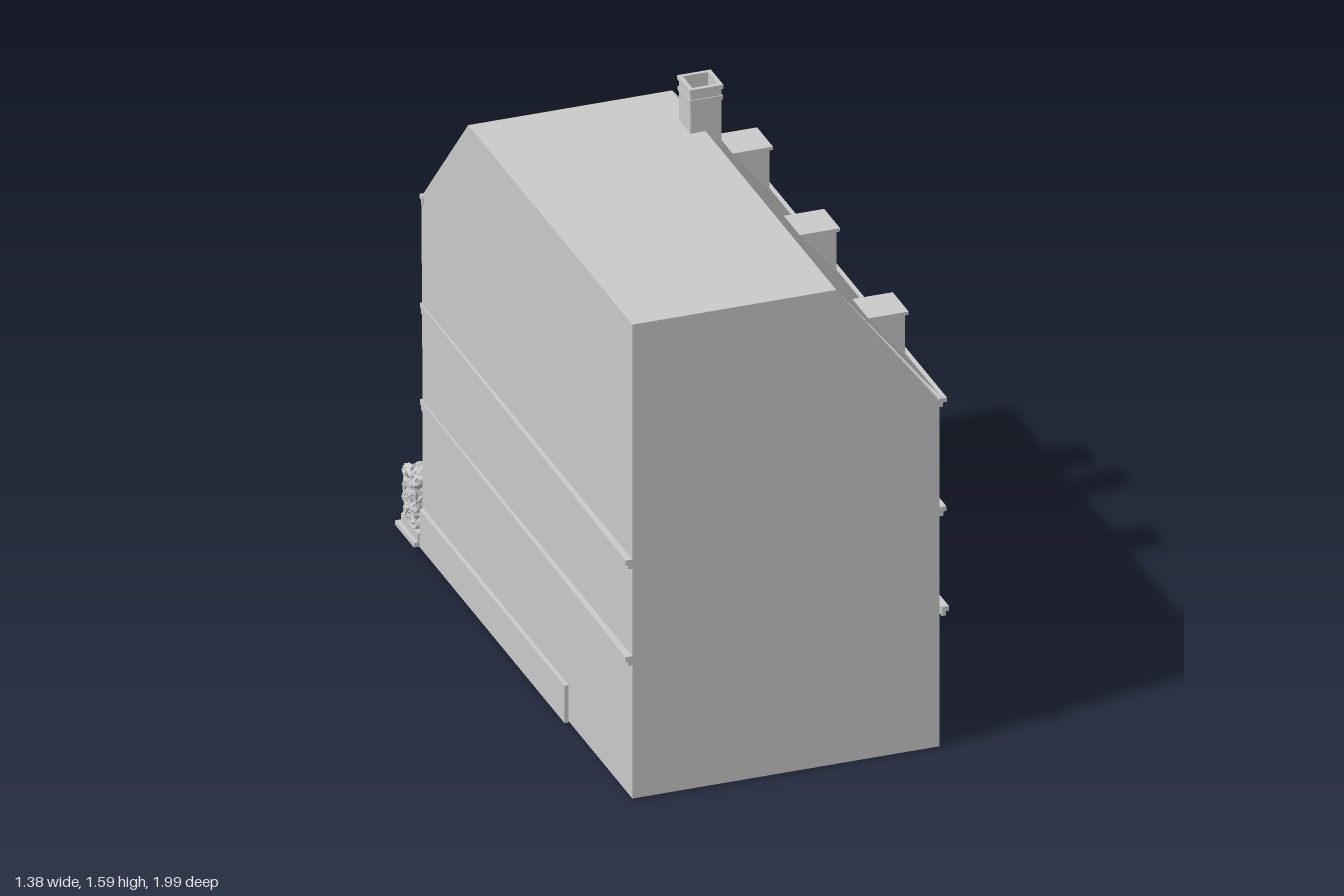
import * as THREE from 'three';

const grey = new THREE.MeshStandardMaterial({ color: 0xcccccc, flatShading: true, side: THREE.DoubleSide });

// Main dimensions: the street facade faces local +z
const HALF_W = 0.447, BACK = -0.825, FACE = 0.8, RECESS = 0.768, EAVE = 1.062, TOP = 1.455;

function add(parent, name, geometry) {
  const mesh = new THREE.Mesh(geometry, grey);
  mesh.name = name;
  parent.add(mesh);
  return mesh;
}

// Box given by its lowest and highest corner
function box(parent, name, x0, x1, y0, y1, z0, z1) {
  const mesh = add(parent, name, new THREE.BoxGeometry(x1 - x0, y1 - y0, z1 - z0));
  mesh.position.set((x0 + x1) / 2, (y0 + y1) / 2, (z0 + z1) / 2);
  return mesh;
}

function group(parent, name) {
  const g = new THREE.Group();
  g.name = name;
  parent.add(g);
  return g;
}

const polygon = (Type, pts) => new Type(pts.map(p => new THREE.Vector2(...p)));

// Flat face from its corners, counter-clockwise seen from outside
function face(parent, name, pts) {
  const corners = [];
  for (let i = 1; i < pts.length - 1; i++) corners.push(...pts[0], ...pts[i], ...pts[i + 1]);
  const geo = new THREE.BufferGeometry();
  geo.setAttribute('position', new THREE.Float32BufferAttribute(corners, 3));
  geo.computeVertexNormals();
  add(parent, name, geo);
}

// Outline with a gently arched head
function arched(Type, x, y, w, h, rise) {
  const s = new Type();
  s.moveTo(x - w / 2, y);
  s.lineTo(x + w / 2, y);
  s.lineTo(x + w / 2, y + h);
  s.quadraticCurveTo(x, y + h + rise * 2, x - w / 2, y + h);
  s.closePath();
  return s;
}

function extrude(parent, name, shape, z0, z1) {
  const g = new THREE.ExtrudeGeometry(shape, { depth: z1 - z0, bevelEnabled: false, curveSegments: 8 });
  g.translate(0, 0, z0);
  return add(parent, name, g);
}

// Plan outline (x, -z) raised from y0 to y1
function raise(parent, name, shape, y0, y1) {
  extrude(parent, name, shape, y0, y1).geometry.rotateX(-Math.PI / 2);
}

// Openings: x, bottom, width, height, arch rise
const columns = [-0.265, 0, 0.27];
const windows = [];
for (const x of columns) {
  windows.push({ x, y: 0.777, w: 0.102, h: 0.185, rise: 0.008, bars: 1 });
  windows.push({ x, y: 0.477, w: 0.102, h: 0.172, rise: 0.008, bars: 1 });
  if (x > -0.1) windows.push({ x, y: 0.13, w: 0.108, h: 0.195, rise: 0.014, bars: 3 });
}
const door = { x: -0.27, y: 0.03, w: 0.15, h: 0.29, rise: 0 };
const cellars = columns.slice(1).map(x => ({ x, y: 0.035, w: 0.08, h: 0.045, rise: 0 }));

function buildWindow(parent, { x, y, w, h, rise, bars }) {
  const g = group(parent, 'window');
  const ow = w + 0.032;
  const trim = arched(THREE.Shape, x, y, ow, h + 0.016, rise);
  trim.holes.push(arched(THREE.Path, x, y + 0.001, w, h, rise));
  extrude(g, 'windowSurround', trim, FACE, FACE + 0.01);
  const frame = arched(THREE.Shape, x, y, w, h, rise);
  frame.holes.push(arched(THREE.Path, x, y + 0.009, w - 0.018, h - 0.018, rise));
  extrude(g, 'windowFrame', frame, RECESS, RECESS + 0.012);
  for (let i = 1; i <= bars; i++) {
    const bx = x - w / 2 + w * i / (bars + 1);
    box(g, 'mullion', bx - 0.003, bx + 0.003, y, y + h, RECESS, RECESS + 0.01);
  }
  for (const f of bars > 1 ? [0.25, 0.5, 0.75] : [0.68])
    box(g, 'transom', x - w / 2, x + w / 2, y + h * f - 0.003, y + h * f + 0.003, RECESS, RECESS + 0.01);
  // Arched hood on small consoles
  const top = y + h + 0.016;
  const hood = new THREE.Shape();
  hood.moveTo(x - ow / 2 - 0.012, top);
  hood.quadraticCurveTo(x, top + rise * 2, x + ow / 2 + 0.012, top);
  hood.lineTo(x + ow / 2 + 0.012, top + 0.016);
  hood.quadraticCurveTo(x, top + 0.016 + rise * 3, x - ow / 2 - 0.012, top + 0.016);
  extrude(g, 'windowHood', hood, FACE, FACE + 0.02);
  // Sill
  box(g, 'windowSill', x - ow / 2 - 0.01, x + ow / 2 + 0.01, y - 0.014, y, RECESS, FACE + 0.02);
  for (const s of [-1, 1]) {
    const cx = x + s * (ow / 2 - 0.008);
    box(g, 'hoodConsole', cx - 0.007, cx + 0.007, top - 0.035, top, FACE, FACE + 0.017);
    box(g, 'sillConsole', cx - 0.007, cx + 0.007, y - 0.034, y - 0.014, FACE, FACE + 0.015);
  }
}

function buildDoor(parent) {
  const g = group(parent, 'entrance');
  const { x, y, w, h } = door;
  box(g, 'doorTransom', x - w / 2, x + w / 2, 0.245, 0.257, RECESS, RECESS + 0.018);
  for (const s of [-1, 1]) {
    const cx = x + s * w / 4;
    box(g, 'doorLeaf', cx - w / 4 + 0.002, cx + w / 4 - 0.002, y, 0.245, RECESS, RECESS + 0.008);
    for (const [a, b] of [[0.045, 0.1], [0.115, 0.23], [0.267, y + h - 0.01]])
      box(g, 'doorPanel', cx - 0.024, cx + 0.024, a, b, RECESS, RECESS + 0.014);
    const px = x + s * (w / 2 + 0.014);
    box(g, 'doorPilaster', px - 0.014, px + 0.014, 0.01, 0.33, FACE, FACE + 0.012);
    box(g, 'doorPilasterBase', px - 0.017, px + 0.017, 0.01, 0.05, FACE, FACE + 0.018);
    box(g, 'doorConsole', px - 0.012, px + 0.012, 0.31, 0.355, FACE, FACE + 0.02);
  }
  box(g, 'doorLintel', x - 0.105, x + 0.105, 0.33, 0.355, FACE, FACE + 0.014);
  box(g, 'doorCornice', x - 0.115, x + 0.115, 0.355, 0.372, FACE, FACE + 0.022);
  box(g, 'doorStep', x - 0.1, x + 0.1, 0, 0.03, RECESS, FACE + 0.02);
}

// Dormer with its face on the side slope, cut back into the roof
function buildDormer(parent, z) {
  const g = group(parent, 'dormer');
  const f = -0.404, hw = 0.05;
  extrude(g, 'dormerBody', polygon(THREE.Shape, [[f, 1.13], [-0.3, 1.25], [f, 1.25]]), z - hw, z + hw);
  box(g, 'dormerRoof', f - 0.016, -0.295, 1.25, 1.26, z - 0.062, z + 0.062);
  box(g, 'dormerCornice', f - 0.008, -0.305, 1.24, 1.25, z - 0.056, z + 0.056);
  for (const s of [-1, 0, 1]) {
    const w = s ? 0.008 : 0.005;
    box(g, 'dormerFrame', f - 0.01, f, 1.13, 1.24, z + s * 0.042 - w, z + s * 0.042 + w);
  }
  for (const y of [1.13, 1.19, 1.23])
    box(g, 'dormerRail', f - 0.01, f, y, y + 0.01, z - hw, z + hw);
}

function buildChimney(parent) {
  const g = group(parent, 'chimney');
  const square = (Type, r) => polygon(Type, [[-r, -r], [r, -r], [r, r], [-r, r]]);
  for (const [name, r, y0, y1] of [['chimneyStack', 0.045, 1.4, 1.585], ['chimneyBand', 0.048, 1.545, 1.557], ['chimneyRim', 0.049, 1.578, 1.59]]) {
    const s = square(THREE.Shape, r);
    s.holes.push(square(THREE.Path, 0.037));
    raise(g, name, s, y0, y1);
  }
  box(g, 'chimneyFloor', -0.04, 0.04, 1.48, 1.52, -0.04, 0.04);
  g.position.set(-0.148, 0, 0.236);
}

// Clipped hedge: a fine box with every vertex nudged by a hash of its position
function buildHedge(parent) {
  const g = group(parent, 'hedge');
  const geo = new THREE.BoxGeometry(0.36, 0.158, 0.1, 40, 18, 12);
  const p = geo.attributes.position, v = new THREE.Vector3();
  const hash = (a, k) => {
    const n = Math.sin(a.x * 913.1 + a.y * 1277.7 + a.z * 1571.3 + k * 37.7) * 43758.5453;
    return n - Math.floor(n) - 0.5;
  };
  for (let i = 0; i < p.count; i++) {
    v.fromBufferAttribute(p, i);
    v.set(...v.toArray().map(n => Math.round(n * 1e4) / 1e4));
    p.setXYZ(i, v.x + hash(v, 1) * 0.009, v.y + hash(v, 2) * 0.009, v.z + hash(v, 3) * 0.009);
  }
  geo.computeVertexNormals();
  add(g, 'hedgeLeaves', geo).position.set(0.28, 0.11, 0.878);
  box(g, 'hedgeKerb', 0.09, 0.475, 0, 0.014, FACE, 0.945);
  box(g, 'hedgeBed', 0.1, 0.463, 0.014, 0.04, FACE, 0.932);
}

// Hollow house, open underneath, with a hipped roof and a flat top against the blind wall
function buildShell(parent) {
  const W = HALF_W, Y = 0.004, front = 0.816;
  const e1 = [-0.46, EAVE, BACK], e2 = [-0.46, EAVE, front], e3 = [W, EAVE, front];
  const t1 = [-0.147, TOP, BACK], t2 = [-0.147, TOP, 0.452], t3 = [W, TOP, 0.452], t4 = [W, TOP, BACK];
  face(parent, 'sideSlope', [e1, e2, t2, t1]);
  face(parent, 'frontSlope', [e2, e3, t3, t2]);
  face(parent, 'flatRoof', [t1, t2, t3, t4]);
  face(parent, 'blindWall', [[W, Y, FACE], [W, Y, BACK], t4, t3, e3]);
  face(parent, 'gableWall', [[W, Y, BACK], [-W, Y, BACK], [-W, EAVE, BACK], t1, t4]);
  face(parent, 'sideWall', [[-W, Y, BACK], [-W, Y, FACE], [-W, EAVE, FACE], [-W, EAVE, BACK]]);
  face(parent, 'windowPanes', [[-W, Y, RECESS], [W, Y, RECESS], [W, EAVE, RECESS], [-W, EAVE, RECESS]]);
}

export function createModel() {
  const model = new THREE.Group();
  model.name = 'cornerHouse';
  const house = group(model, 'house');
  buildShell(house);

  // Facade wall with cut openings
  const wall = polygon(THREE.Shape, [[-HALF_W, 0], [HALF_W, 0], [HALF_W, EAVE], [-HALF_W, EAVE]]);
  for (const o of [...windows, door, ...cellars]) wall.holes.push(arched(THREE.Path, o.x, o.y, o.w, o.h, o.rise));
  extrude(house, 'facadeWall', wall, RECESS, FACE);
  windows.forEach(o => buildWindow(house, o));
  buildDoor(house);
  for (const c of cellars) {
    const s = arched(THREE.Shape, c.x, c.y - 0.012, c.w + 0.024, c.h + 0.024, 0);
    s.holes.push(arched(THREE.Path, c.x, c.y, c.w, c.h, 0));
    extrude(house, 'cellarSurround', s, FACE, FACE + 0.015);
    for (const d of [-0.02, 0, 0.02]) box(house, 'cellarBar', c.x + d - 0.002, c.x + d + 0.002, c.y, c.y + c.h, RECESS, RECESS + 0.01);
  }

  // Storey bands around the facade and side, with a lip above each
  for (const [y, back] of [[0.412, -0.845], [0.708, BACK]]) {
    for (const [name, out, a, b] of [['storeyBand', 0.012, 0, 0.013], ['storeyLip', 0.02, 0.013, 0.028]]) {
      box(house, name, -HALF_W - out, -HALF_W, y + a, y + b, back, FACE + out);
      box(house, name, -HALF_W, HALF_W + 0.003, y + a, y + b, FACE, FACE + out);
      // Slightly askew band running through the blind wall
      const plan = polygon(THREE.Shape, [[HALF_W - 0.015, -FACE], [HALF_W + 0.004, -FACE], [HALF_W + out, -BACK], [HALF_W - 0.004, -BACK]]);
      raise(house, name, plan, y + a, y + b);
    }
  }

  // Eaves cornice, frieze and dentils
  for (const [name, out, y0, y1] of [['corniceBed', 0.011, 1.042, 1.055], ['corniceTop', 0.022, 1.055, 1.068]]) {
    box(house, name, -HALF_W - out, -HALF_W, y0, y1, BACK, FACE + out);
    box(house, name, -HALF_W, HALF_W + 0.003, y0, y1, FACE, FACE + out);
  }
  box(house, 'frieze', -HALF_W, HALF_W, 1.015, 1.023, FACE, FACE + 0.008);
  for (let i = 0; i < 30; i++) {
    const x = -0.425 + i * 0.85 / 29;
    box(house, 'dentil', x - 0.008, x + 0.008, 1.027, 1.042, FACE, FACE + 0.013);
    for (const y of [0.402, 0.698]) box(house, 'bandDentil', x - 0.006, x + 0.006, y, y + 0.01, FACE, FACE + 0.008);
  }

  // Corner pilasters and their consoles
  box(house, 'sidePilaster', -HALF_W - 0.005, -HALF_W, 0, 1.042, 0.715, FACE + 0.005);
  box(house, 'sideConsole', -HALF_W - 0.012, -HALF_W, 0.985, 1.025, 0.69, FACE + 0.008);
  box(house, 'sideConsoleCap', -HALF_W - 0.016, -HALF_W, 1.02, 1.042, 0.675, FACE + 0.012);
  for (const s of [-1, 1]) {
    const x = s * 0.425;
    box(house, 'facadePilaster', x - 0.022, x + 0.022, 0, 1.042, FACE, FACE + 0.006);
    box(house, 'facadeConsole', x - 0.02, x + 0.02, 0.97, 1.042, FACE, FACE + 0.018);
    box(house, 'pilasterBase', x - 0.022, x + 0.022, 0, 0.07, FACE, FACE + 0.012);
  }
  box(house, 'facadePlinth', -0.15, HALF_W, 0.084, 0.096, FACE, FACE + 0.01);
  box(house, 'lowSideWall', HALF_W, HALF_W + 0.012, 0, 0.115, -0.33, FACE);

  for (const z of [-0.596, -0.063, 0.459]) buildDormer(house, z);
  buildChimney(house);
  buildHedge(house);

  // The house stands at an angle, facade turned to the back
  house.rotation.y = Math.PI - 0.3005;
  house.position.z = 0.045;
  return model;
}
